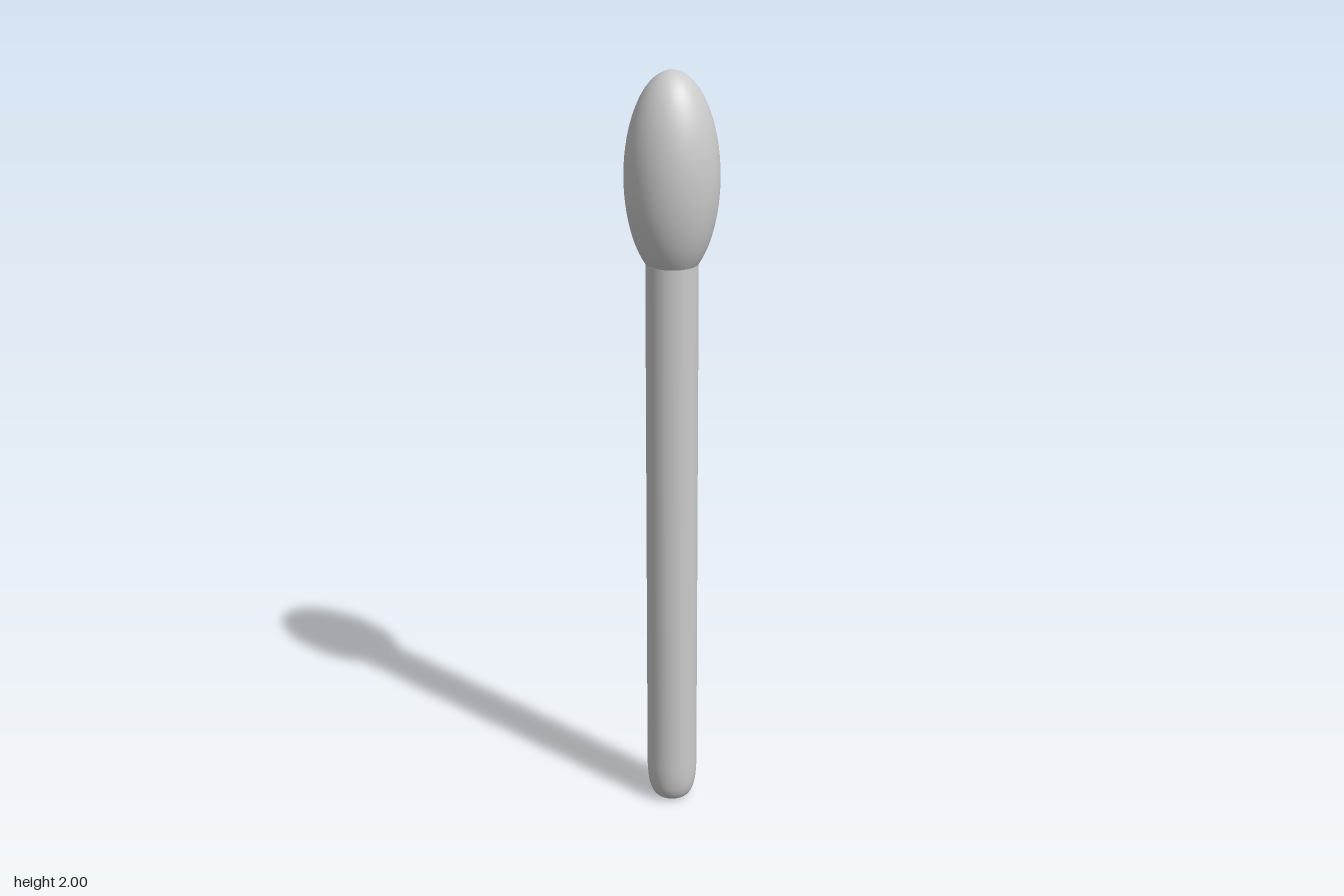
import * as THREE from 'three';

const SEGMENTS = 48;

export function createModel() {
  const group = new THREE.Group();
  const material = new THREE.MeshStandardMaterial({ color: 0xcccccc, side: THREE.DoubleSide });

  function addLathe(name, points) {
    const mesh = new THREE.Mesh(new THREE.LatheGeometry(points, SEGMENTS), material);
    mesh.name = name;
    group.add(mesh);
  }

  // Straight shaft with a rounded foot around a small open end
  const shaft = new THREE.Path();
  shaft.moveTo(0.025, 0);
  shaft.bezierCurveTo(0.055, 0, 0.067, 0.035, 0.067, 0.11);
  shaft.lineTo(0.067, 1.515);
  addLathe('shaft', shaft.getPoints(14));

  // Egg-shaped head, cut where it meets the shaft
  const radius = 0.12, halfHeight = 0.265, centerY = 1.735;
  const start = -Math.acos(0.067 / radius);
  const head = [];
  for (let i = 0; i <= 32; i++) {
    const a = start + (Math.PI / 2 - start) * (i / 32);
    head.push(new THREE.Vector2(Math.max(0, radius * Math.cos(a)), centerY + halfHeight * Math.sin(a)));
  }
  addLathe('head', head);

  return group;
}
